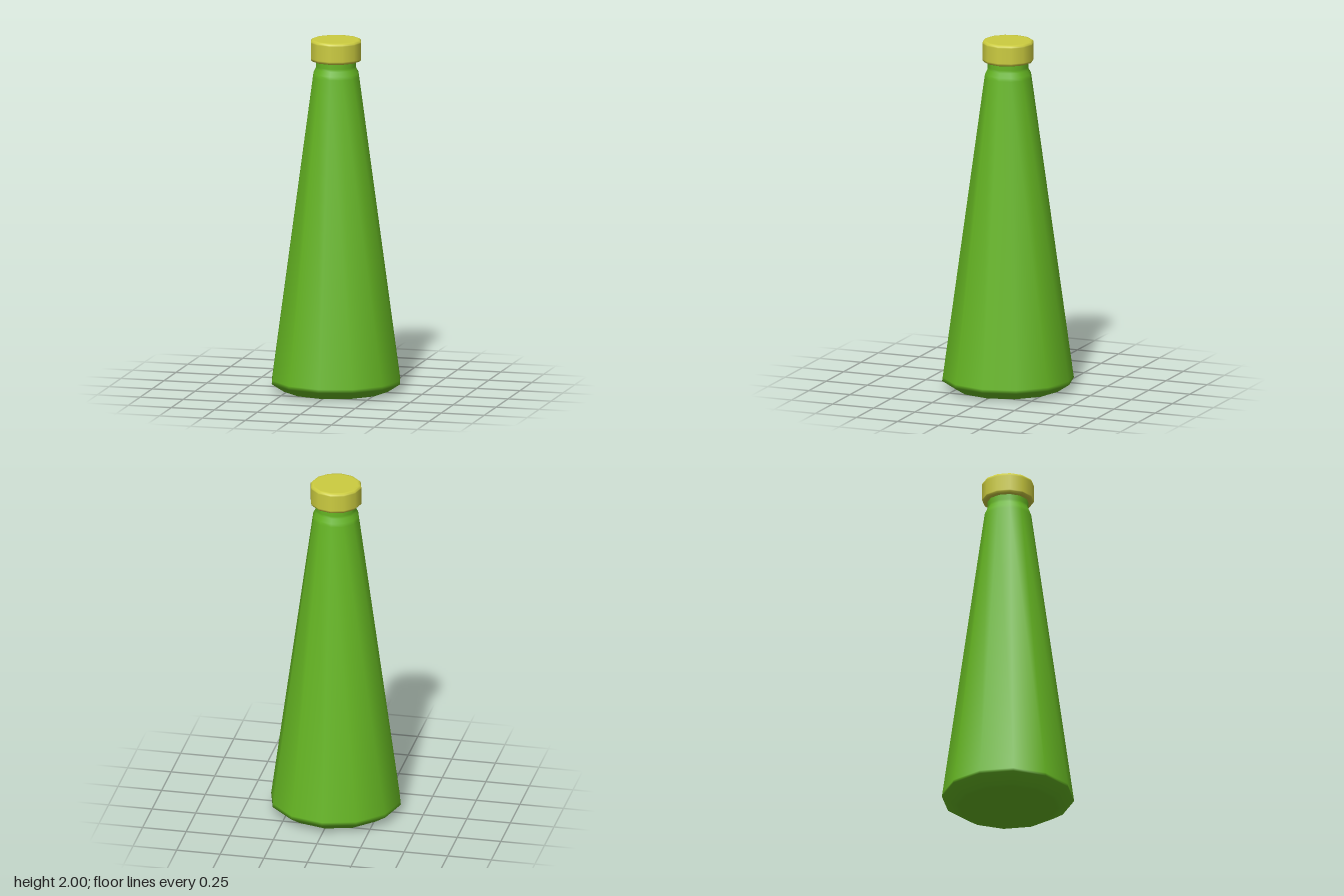
import * as THREE from 'three';

const SIDES = 12;

// Smooth twelve-sided turned part from [radius, height] pairs, bottom to top
function turned(name, profile, material) {
  const points = profile.map(([r, y]) => new THREE.Vector2(r, y));
  const mesh = new THREE.Mesh(new THREE.LatheGeometry(points, SIDES), material);
  mesh.name = name;
  return mesh;
}

export function createModel() {
  const glass = new THREE.MeshStandardMaterial({ color: 0x66b723 });
  glass.name = 'green glass';
  const metal = new THREE.MeshStandardMaterial({ color: 0xcccc40 });
  metal.name = 'yellow cap';

  const bottle = new THREE.Group();
  bottle.name = 'bottle';

  // Tapered body with chamfered foot, small shoulder and straight neck;
  // close ring pairs keep the long wall evenly shaded
  bottle.add(turned('body', [
    [0, 0], [0.28, 0], [0.302, 0.004], [0.372, 0.05], [0.369, 0.07],
    [0.133, 1.79], [0.13, 1.81], [0.117, 1.835], [0.116, 1.85], [0.116, 1.9],
  ], glass));

  // Cap with softened rims, closed underneath
  bottle.add(turned('cap', [
    [0, 1.88], [0.125, 1.88], [0.136, 1.88], [0.145, 1.889], [0.145, 1.896],
    [0.145, 1.984], [0.145, 1.991], [0.136, 2], [0.125, 2], [0, 2],
  ], metal));

  return bottle;
}
